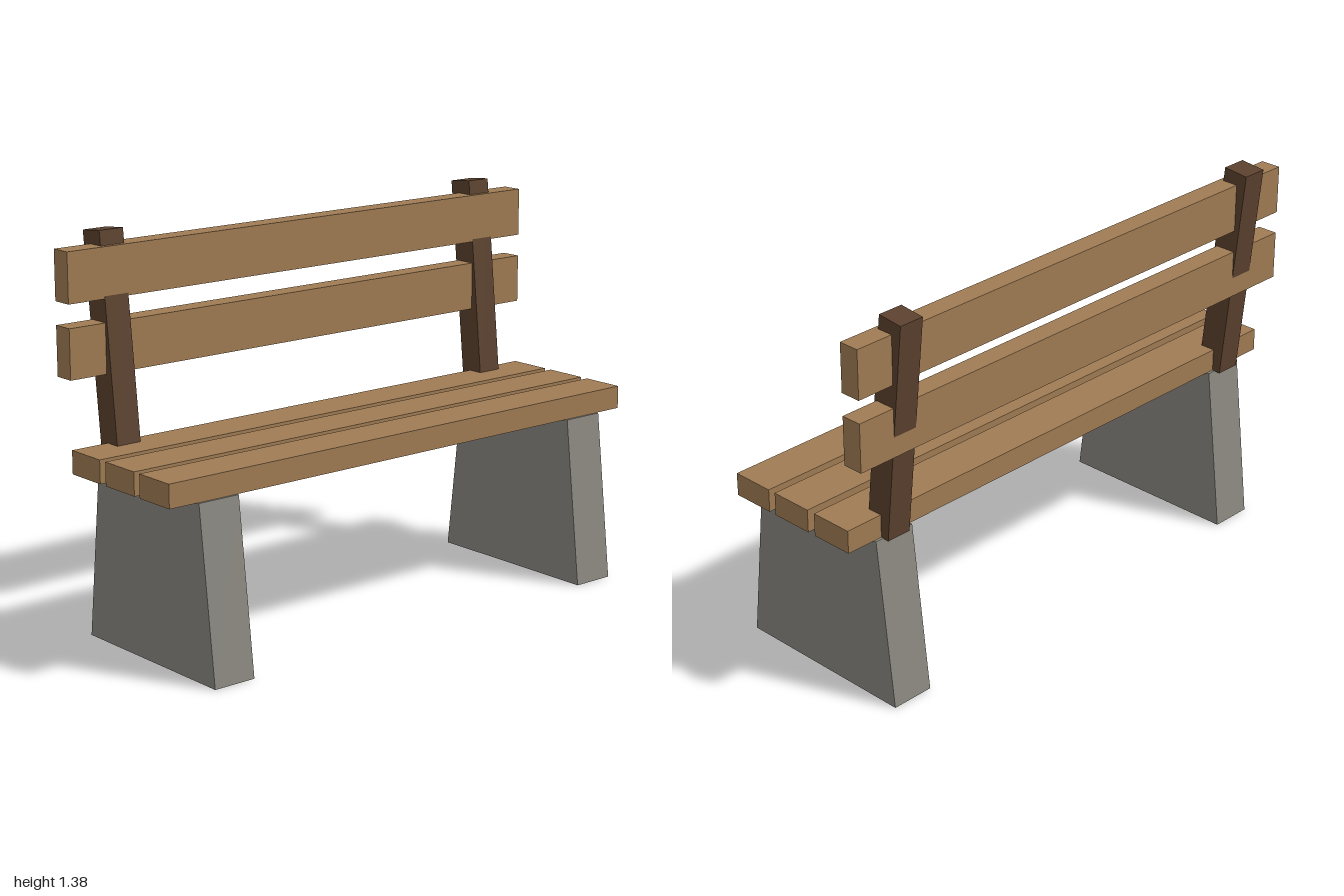
import * as THREE from 'three';

const wood = new THREE.MeshStandardMaterial({ color: 0xa07c54 });
wood.name = 'slat wood';
const darkWood = new THREE.MeshStandardMaterial({ color: 0x5c422f });
darkWood.name = 'dark post wood';
const concrete = new THREE.MeshStandardMaterial({ color: 0x8a8880 });
concrete.name = 'concrete';

const SIDE_X = 0.813;

function addPart(group, name, geometry, material, x, y, z) {
  const mesh = new THREE.Mesh(geometry, material);
  mesh.name = name;
  mesh.position.set(x, y, z);
  group.add(mesh);
  return mesh;
}

// Tapered slab, drawn as a side outline (shape x becomes -z) and given thickness along x
function legGeometry(thickness) {
  const outline = new THREE.Shape([
    new THREE.Vector2(-0.36, 0),
    new THREE.Vector2(0.327, 0),
    new THREE.Vector2(0.258, 0.597),
    new THREE.Vector2(-0.29, 0.597),
  ]);
  const geometry = new THREE.ExtrudeGeometry(outline, { depth: thickness, bevelEnabled: false });
  geometry.translate(0, 0, -thickness / 2);
  geometry.rotateY(Math.PI / 2);
  return geometry;
}

export function createModel() {
  const bench = new THREE.Group();
  bench.name = 'bench';

  // Concrete legs and leaning back posts, mirrored
  const leg = legGeometry(0.157);
  const post = new THREE.BoxGeometry(0.093, 0.783, 0.094);
  for (const [side, sign] of [['left', 1], ['right', -1]]) {
    addPart(bench, `${side}Leg`, leg, concrete, sign * SIDE_X, 0, 0);
    const back = addPart(bench, `${side}BackPost`, post, darkWood, sign * SIDE_X, 0.988, -0.273);
    back.rotation.x = -0.103;
  }

  // Seat slats
  const seatSlat = new THREE.BoxGeometry(2, 0.081, 0.157);
  [0.204, 0.018, -0.17].forEach((z, i) =>
    addPart(bench, `seatSlat${i + 1}`, seatSlat, wood, 0, 0.6375, z));

  // Backrest slats
  const backSlat = new THREE.BoxGeometry(2, 0.171, 0.075);
  [0.996, 1.246].forEach((y, i) =>
    addPart(bench, `backSlat${i + 1}`, backSlat, wood, 0, y, -0.282));

  return bench;
}
